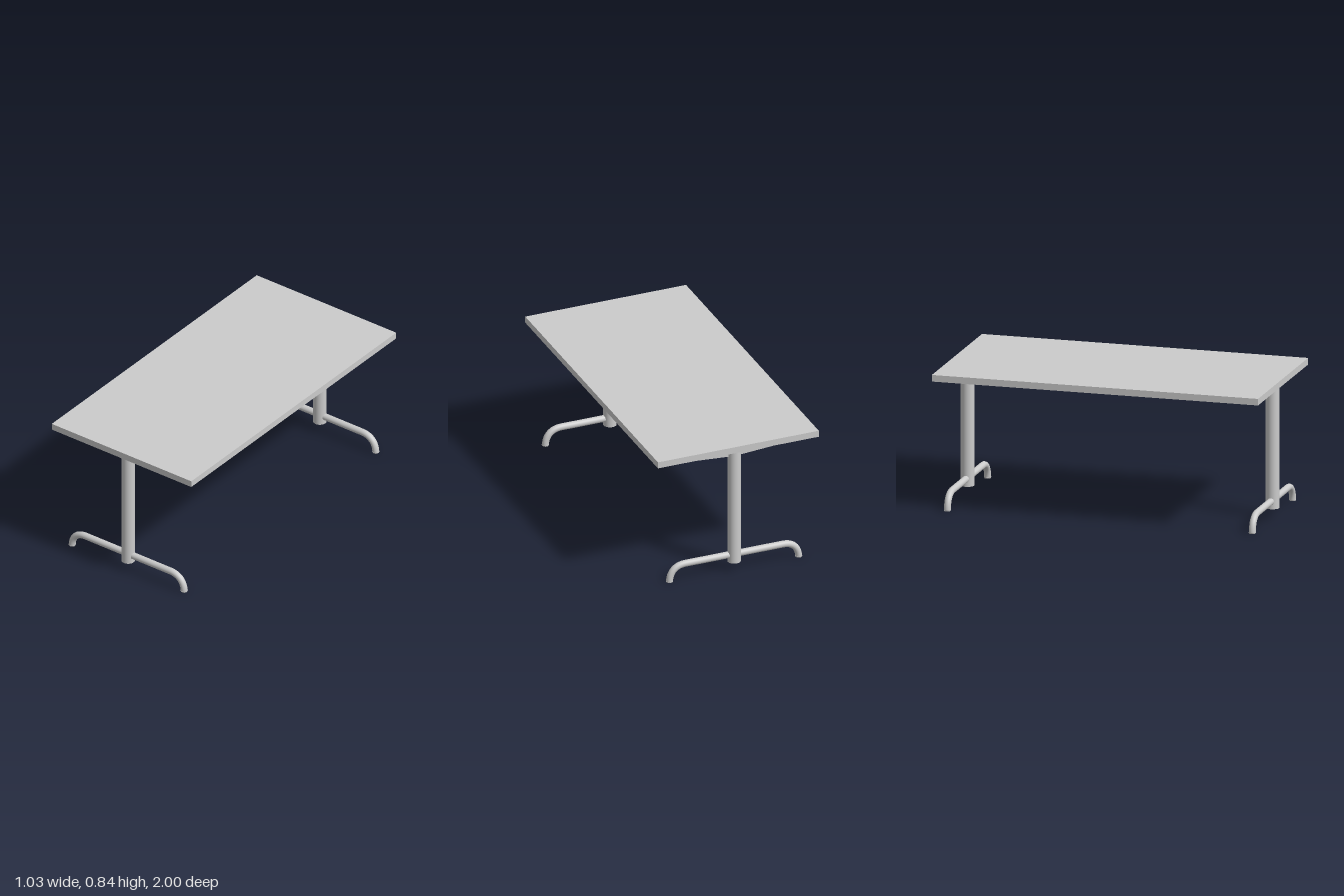
import * as THREE from 'three';

const material = new THREE.MeshStandardMaterial({ color: 0xcccccc });

function addPart(parent, name, geometry, x = 0, y = 0, z = 0) {
  const mesh = new THREE.Mesh(geometry, material);
  mesh.name = name;
  mesh.position.set(x, y, z);
  parent.add(mesh);
  return mesh;
}

// Horizontal tube whose two ends bend down to the floor
function footPath() {
  const v = (x, y) => new THREE.Vector3(x, y, 0);
  const path = new THREE.CurvePath();
  path.add(new THREE.CubicBezierCurve3(v(-0.412, 0.004), v(-0.408, 0.068), v(-0.37, 0.101), v(-0.31, 0.101)));
  path.add(new THREE.LineCurve3(v(-0.31, 0.101), v(0.31, 0.101)));
  path.add(new THREE.CubicBezierCurve3(v(0.31, 0.101), v(0.37, 0.101), v(0.408, 0.068), v(0.412, 0.004)));
  return path;
}

// Tapered support plate, deepest at the post
function bracketGeometry(thickness) {
  const shape = new THREE.Shape([
    [-0.41, 0.803], [-0.41, 0.783], [-0.04, 0.757],
    [0.04, 0.757], [0.41, 0.783], [0.41, 0.803],
  ].map(([x, y]) => new THREE.Vector2(x, y)));
  return new THREE.ExtrudeGeometry(shape, { depth: thickness, bevelEnabled: false })
    .translate(0, 0, -thickness / 2);
}

export function createModel() {
  const table = new THREE.Group();
  table.name = 'table';

  addPart(table, 'tableTop', new THREE.BoxGeometry(1.026, 0.04, 2), 0, 0.823, 0);

  // One pedestal near each end
  for (const [name, z] of [['frontPedestal', 0.935], ['backPedestal', -0.935]]) {
    const pedestal = new THREE.Group();
    pedestal.name = name;
    pedestal.position.z = z;
    table.add(pedestal);

    addPart(pedestal, 'post', new THREE.CylinderGeometry(0.04, 0.04, 0.748, 48), 0, 0.429, 0);
    addPart(pedestal, 'bracket', bracketGeometry(0.02));
    addPart(pedestal, 'footTube', new THREE.TubeGeometry(footPath(), 96, 0.0205, 24, false));

    // Glides closing the tube ends
    for (const side of [-1, 1]) {
      addPart(pedestal, side > 0 ? 'leftGlide' : 'rightGlide',
        new THREE.CylinderGeometry(0.0215, 0.0195, 0.006, 24), side * 0.412, 0.003, 0);
    }
  }
  return table;
}
